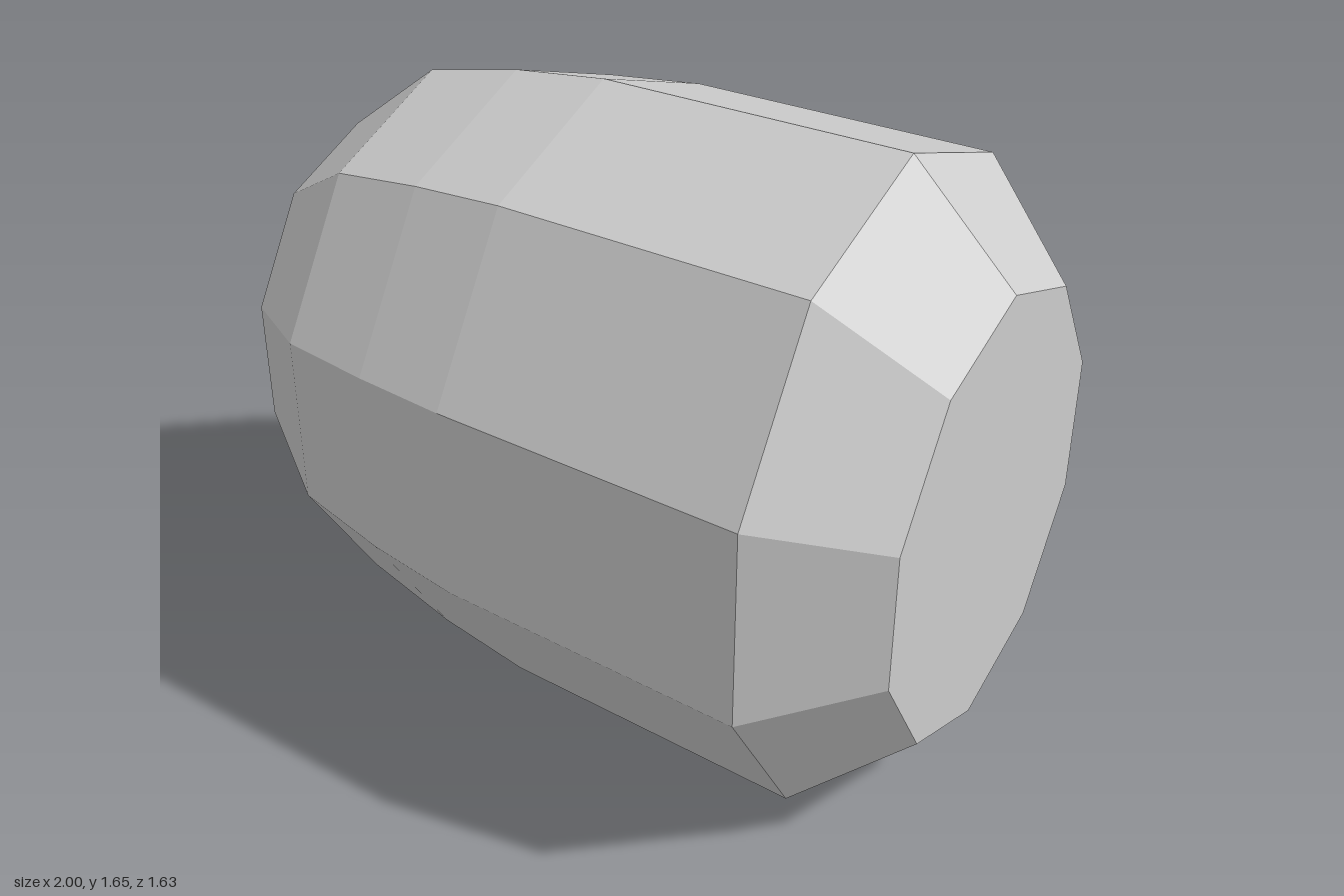
import * as THREE from 'three';

const SIDES = 10;

export function createModel() {
  const grey = new THREE.MeshStandardMaterial({ color: 0xcccccc, flatShading: true });
  grey.name = 'light grey';

  // Ten-sided turned part lying along x, a corner pointing up; profile is [radius, position]
  const turned = (name, profile) => {
    const points = profile.map(([r, s]) => new THREE.Vector2(r, s));
    const geometry = new THREE.LatheGeometry(points, SIDES, Math.PI / 2);
    geometry.rotateZ(-Math.PI / 2);
    const mesh = new THREE.Mesh(geometry, grey);
    mesh.name = name;
    return mesh;
  };

  const barrel = new THREE.Group();
  barrel.name = 'barrel';
  barrel.add(
    // flat narrow end
    turned('narrowEnd', [[0, -0.918], [0.5, -0.918]]),
    // swelling side wall
    turned('sideWall', [[0.5, -0.918], [0.705, -0.659], [0.766, -0.4], [0.802, -0.151], [0.823, 0.632]]),
    // bevel around the wide end
    turned('bevel', [[0.823, 0.632], [0.568, 0.891]]),
    // flat wide end
    turned('wideEnd', [[0.568, 0.891], [0, 0.891]])
  );

  // Slightly narrow across, turned in plan
  barrel.scale.z = 0.847;
  barrel.rotation.y = THREE.MathUtils.degToRad(-22.15);
  barrel.position.set(0, 0.825, -0.044);

  const model = new THREE.Group();
  model.name = 'model';
  model.add(barrel);
  return model;
}
